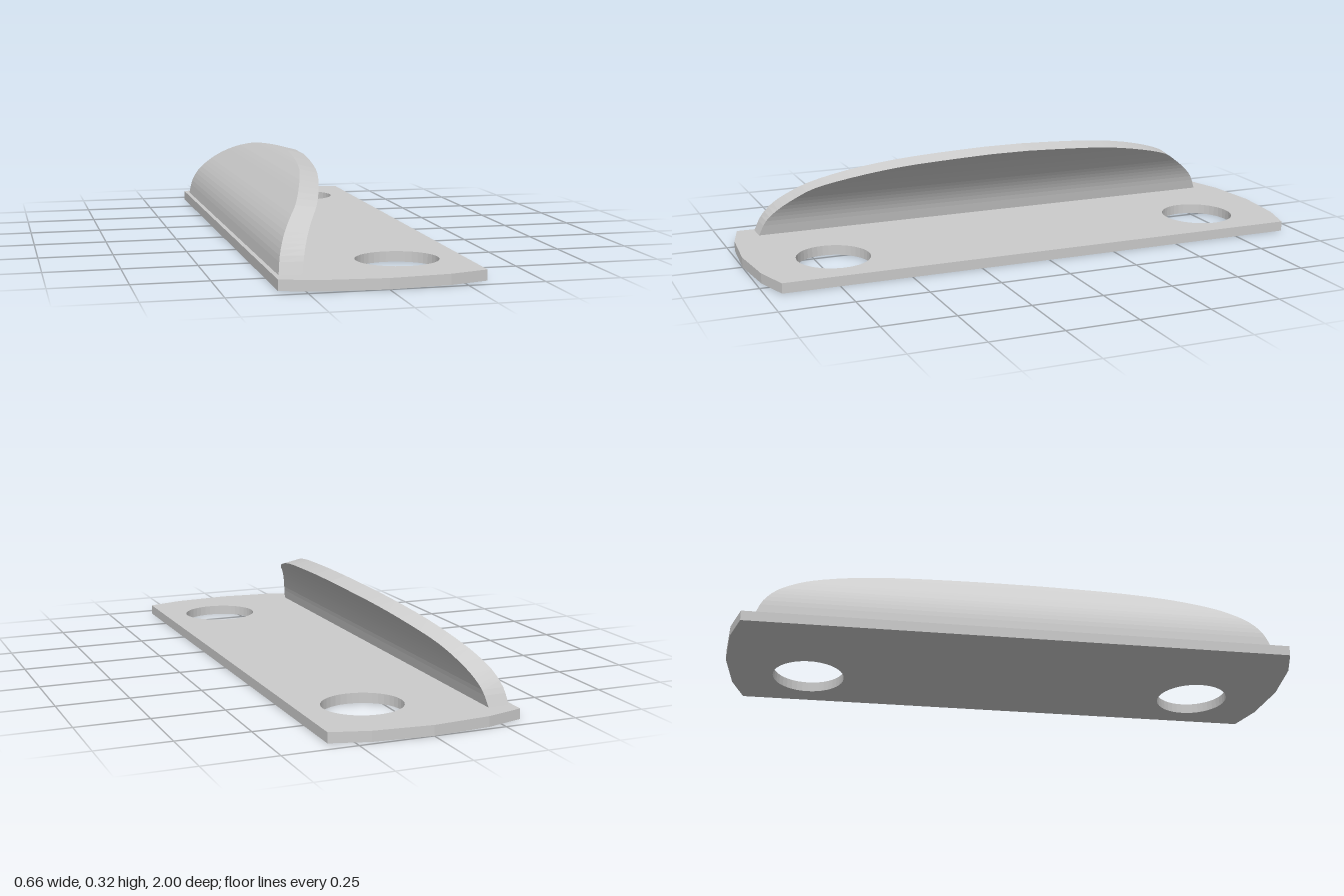
import * as THREE from 'three';

const material = new THREE.MeshStandardMaterial({ color: 0xcccccc, flatShading: true });

// Flat plate with faceted, bowed ends and two oval through-holes
function createPlate() {
  const end = [[0.33, 0.945], [0.2, 0.982], [0, 1], [-0.2, 0.982], [-0.33, 0.945]];
  const outline = [...end, ...end.map(([x, z]) => [-x, -z])];
  const shape = new THREE.Shape(outline.map(([x, z]) => new THREE.Vector2(x, z)));
  for (const side of [1, -1]) {
    const hole = new THREE.Path();
    hole.absellipse(0.11, side * 0.71, 0.137, 0.127, 0, Math.PI * 2, true);
    shape.holes.push(hole);
  }
  const geometry = new THREE.ExtrudeGeometry(shape, { depth: 0.035, bevelEnabled: false, curveSegments: 20 });
  geometry.rotateX(-Math.PI / 2);
  const mesh = new THREE.Mesh(geometry, material);
  mesh.name = 'basePlate';
  return mesh;
}

// Curved lip: a thick sheet leaning over the plate, narrowing to a rounded top
function createLip() {
  // Each point is x, y and half-length along z
  const halfLengths = [0.892, 0.868, 0.827, 0.77, 0.71, 0.58, 0.41, 0.22, 0.07];
  const curve = (points) => new THREE.CatmullRomCurve3(
    points.map(([x, y], i) => new THREE.Vector3(x, y, halfLengths[i])));
  const outer = curve([[-0.315, 0.035], [-0.306, 0.09], [-0.286, 0.14], [-0.255, 0.183], [-0.222, 0.218],
    [-0.18, 0.26], [-0.14, 0.293], [-0.117, 0.31], [-0.105, 0.318]]);
  const inner = curve([[-0.242, 0.035], [-0.23, 0.088], [-0.212, 0.131], [-0.185, 0.173], [-0.154, 0.21],
    [-0.115, 0.247], [-0.078, 0.278], [-0.056, 0.294], [-0.045, 0.302]]);

  const steps = 24;
  const positions = [];
  const index = [];
  const quad = (a, b, c, d) => index.push(a, b, c, a, c, d);
  for (let i = 0; i <= steps; i++) {
    const o = outer.getPoint(i / steps);
    const n = inner.getPoint(i / steps);
    positions.push(o.x, o.y, o.z, n.x, n.y, n.z, n.x, n.y, -n.z, o.x, o.y, -o.z);
    if (i === steps) break;
    for (let j = 0; j < 4; j++) {
      const low = i * 4 + j;
      const next = i * 4 + (j + 1) % 4;
      quad(low, next, next + 4, low + 4);
    }
  }
  const top = steps * 4;
  quad(3, 2, 1, 0);
  quad(top, top + 1, top + 2, top + 3);

  const indexed = new THREE.BufferGeometry();
  indexed.setAttribute('position', new THREE.Float32BufferAttribute(positions, 3));
  indexed.setIndex(index);
  const geometry = indexed.toNonIndexed();
  geometry.computeVertexNormals();
  const mesh = new THREE.Mesh(geometry, material);
  mesh.name = 'curvedLip';
  mesh.position.z = -0.008;
  return mesh;
}

export function createModel() {
  const group = new THREE.Group();
  group.name = 'lippedPlate';
  group.add(createPlate(), createLip());
  return group;
}
